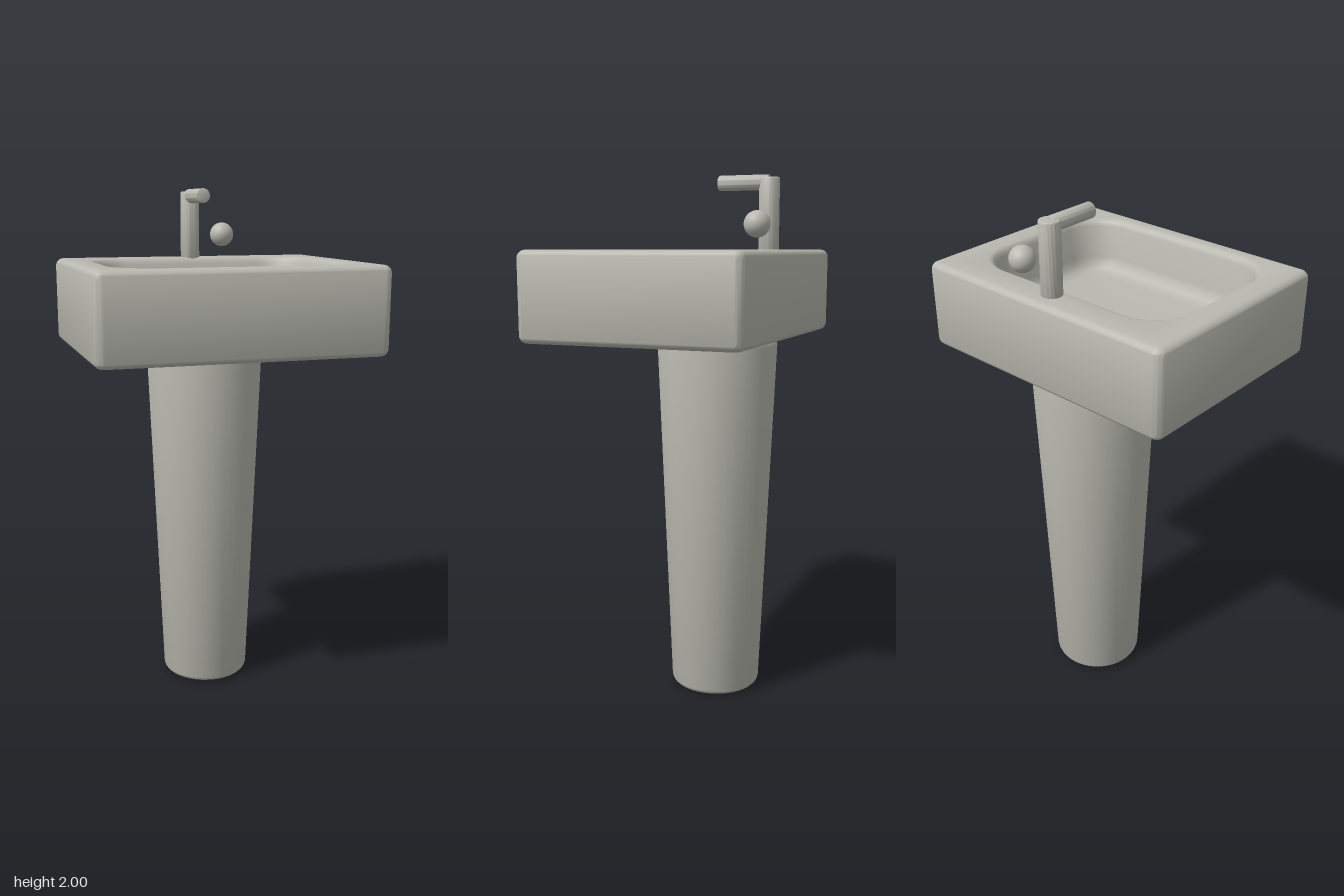
import * as THREE from 'three';
import { toCreasedNormals } from 'three/addons/utils/BufferGeometryUtils.js';

const ceramic = new THREE.MeshStandardMaterial({ color: 0xb9b9b0 });
ceramic.name = 'ceramic';

function part(name, geometry, x = 0, y = 0, z = 0) {
  const mesh = new THREE.Mesh(geometry, ceramic);
  mesh.name = name;
  mesh.position.set(x, y, z);
  return mesh;
}

// Upright round column, tapered, with rounded rims
function column(rBottom, rTop, height, bevelBottom, bevelTop) {
  const points = [new THREE.Vector2(0, 0)];
  const steps = 5;
  for (let i = 0; i <= steps; i++) {
    const a = (i / steps) * Math.PI / 2;
    points.push(new THREE.Vector2(rBottom - bevelBottom * (1 - Math.sin(a)), bevelBottom * (1 - Math.cos(a))));
  }
  for (let i = 0; i <= steps; i++) {
    const a = (i / steps) * Math.PI / 2;
    points.push(new THREE.Vector2(rTop - bevelTop * (1 - Math.cos(a)), height - bevelTop * (1 - Math.sin(a))));
  }
  points.push(new THREE.Vector2(0, height));
  return toCreasedNormals(new THREE.LatheGeometry(points, 48), 0.6);
}

// Skin through rounded-rectangle sections: [halfX, halfZ, cornerRadius, y, centreZ]
function skin(sections) {
  const perCorner = 9, count = perCorner * 4;
  const positions = [], index = [];
  for (const [hx, hz, r, y, cz] of sections) {
    for (let c = 0; c < 4; c++) {
      const sx = c === 0 || c === 3 ? 1 : -1, sz = c < 2 ? 1 : -1;
      for (let i = 0; i < perCorner; i++) {
        const a = (c + i / (perCorner - 1)) * Math.PI / 2;
        positions.push(sx * (hx - r) + r * Math.cos(a), y, cz + sz * (hz - r) + r * Math.sin(a));
      }
    }
  }
  for (let s = 0; s < sections.length - 1; s++) {
    for (let i = 0; i < count; i++) {
      const a = s * count + i, b = s * count + (i + 1) % count;
      index.push(a, a + count, b, b, a + count, b + count);
    }
  }
  const geometry = new THREE.BufferGeometry();
  geometry.setAttribute('position', new THREE.Float32BufferAttribute(positions, 3));
  geometry.setIndex(index);
  return toCreasedNormals(geometry, 0.6);
}

function basinGeometry() {
  const hx = 0.543, hz = 0.427, bevel = 0.03, y0 = 1.4, y1 = 1.73;
  const sections = [[0, 0, 0, y0, 0]];
  // Rounded outer edges, bottom then top
  for (let i = 0; i <= 5; i++) {
    const a = (i / 5) * Math.PI / 2, inset = bevel * (1 - Math.sin(a));
    sections.push([hx - inset, hz - inset, 0.036 - inset, y0 + bevel * (1 - Math.cos(a)), 0]);
  }
  for (let i = 0; i <= 5; i++) {
    const a = (i / 5) * Math.PI / 2, inset = bevel * (1 - Math.cos(a));
    sections.push([hx - inset, hz - inset, 0.036 - inset, y1 - bevel * (1 - Math.sin(a)), 0]);
  }
  // Soft lip, sloping bowl wall and floor
  sections.push(
    [0.45, 0.337, 0.17, 1.73, 0.03],
    [0.441, 0.328, 0.165, 1.727, 0.03],
    [0.433, 0.32, 0.16, 1.719, 0.03],
    [0.427, 0.314, 0.155, 1.705, 0.03],
    [0.405, 0.29, 0.13, 1.585, 0.034],
    [0.397, 0.282, 0.12, 1.56, 0.035],
    [0.383, 0.268, 0.105, 1.542, 0.035],
    [0.36, 0.245, 0.08, 1.533, 0.035],
    [0.33, 0.215, 0.06, 1.53, 0.035],
    [0, 0, 0, 1.53, 0.035],
  );
  return skin(sections);
}

export function createModel() {
  const model = new THREE.Group();
  model.name = 'pedestalSink';

  model.add(part('pedestal', column(0.175, 0.23, 1.4, 0.03, 0.025), 0, 0, -0.135));
  model.add(part('basin', basinGeometry()));

  // Tap with a forward spout and a ball handle
  const tap = new THREE.Group();
  tap.name = 'tap';
  tap.add(part('tapPost', column(0.038, 0.038, 0.27, 0.004, 0.006), 0, 1.72, -0.335));
  const spout = part('spout', column(0.028, 0.028, 0.195, 0.004, 0.004), 0, 1.972, -0.335);
  spout.rotation.x = Math.PI / 2;
  tap.add(spout);
  tap.add(part('handleBall', new THREE.SphereGeometry(0.048, 32, 20), 0.136, 1.82, -0.335));
  model.add(tap);

  return model;
}
